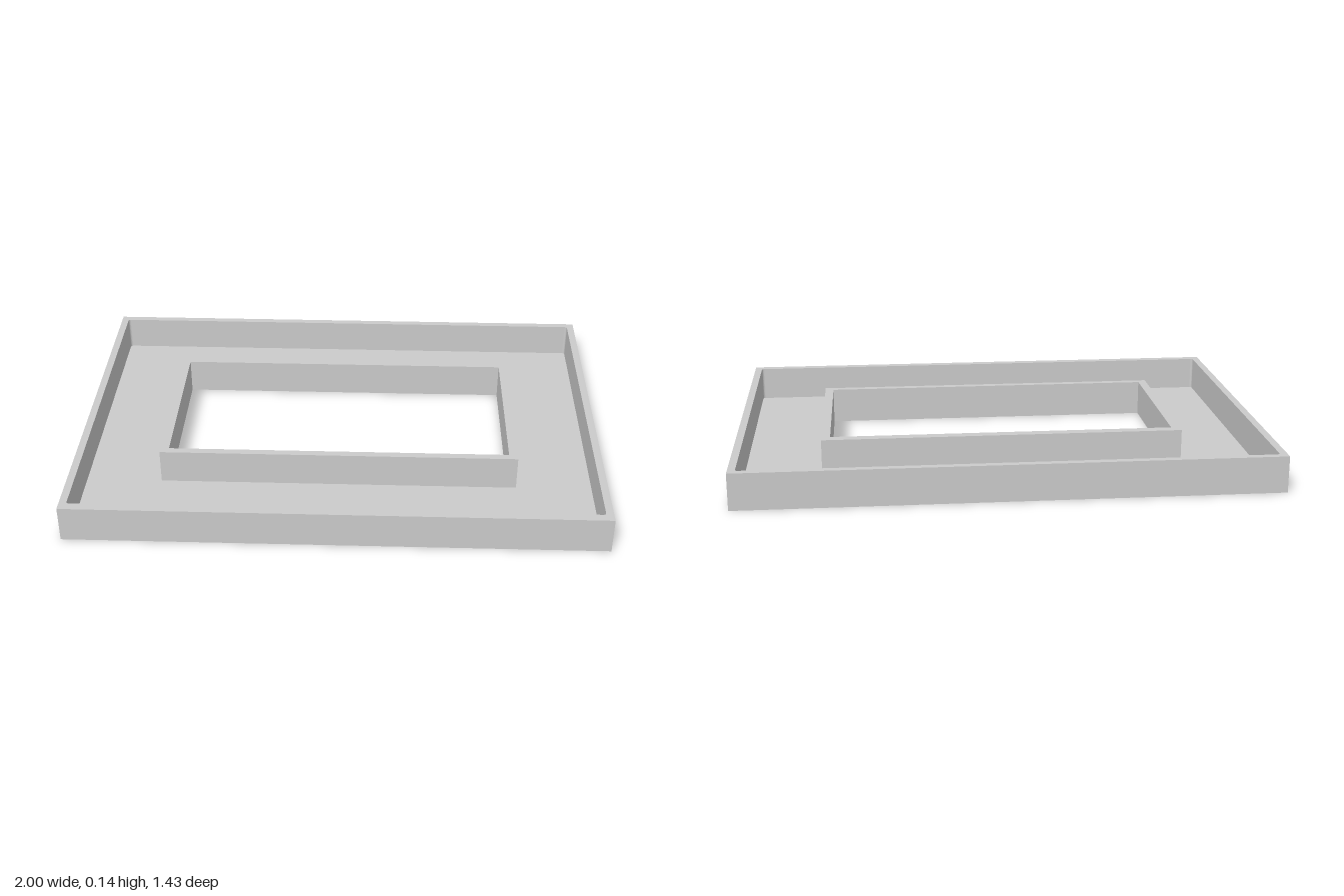
import * as THREE from 'three';

const HEIGHT = 0.138;
const FLOOR = 0.005;

// Rectangle outline in plan (x, z), with optionally rounded corners
function rect(PathType, [x0, x1, z0, z1], r = 0) {
  const p = new PathType();
  const y0 = -z1, y1 = -z0; // the extrusion is laid flat, so shape y = -z
  if (!r) {
    p.moveTo(x0, y0).lineTo(x1, y0).lineTo(x1, y1).lineTo(x0, y1).closePath();
    return p;
  }
  p.moveTo(x0 + r, y0);
  p.lineTo(x1 - r, y0);
  p.absarc(x1 - r, y0 + r, r, -Math.PI / 2, 0);
  p.lineTo(x1, y1 - r);
  p.absarc(x1 - r, y1 - r, r, 0, Math.PI / 2);
  p.lineTo(x0 + r, y1);
  p.absarc(x0 + r, y1 - r, r, Math.PI / 2, Math.PI);
  p.lineTo(x0, y0 + r);
  p.absarc(x0 + r, y0 + r, r, Math.PI, Math.PI * 1.5);
  return p;
}

// Rectangular ring standing between two heights
function ring(name, outer, inner, y0, y1, innerRadius = 0) {
  const shape = rect(THREE.Shape, outer);
  shape.holes.push(rect(THREE.Path, inner, innerRadius));
  const geometry = new THREE.ExtrudeGeometry(shape, {
    depth: y1 - y0, bevelEnabled: false, curveSegments: 4,
  });
  geometry.rotateX(-Math.PI / 2).translate(0, y0, 0);
  const mesh = new THREE.Mesh(geometry, new THREE.MeshStandardMaterial({ color: 0xcccccc }));
  mesh.name = name;
  return mesh;
}

export function createModel() {
  const group = new THREE.Group();
  group.name = 'openTray';

  // Plan outlines: [x min, x max, z min, z max]
  const outside = [-1, 1, -0.714, 0.714];
  const rimInside = [-0.972, 0.972, -0.687, 0.68];
  const collarOutside = [-0.683, 0.683, -0.37, 0.343];
  const opening = [-0.65, 0.65, -0.332, 0.315];

  // Thin floor, outer rim and the collar around the opening
  group.add(
    ring('floor', outside, opening, 0, FLOOR),
    ring('outerRim', outside, rimInside, FLOOR, HEIGHT, 0.01),
    ring('openingCollar', collarOutside, opening, FLOOR, HEIGHT),
  );
  return group;
}
